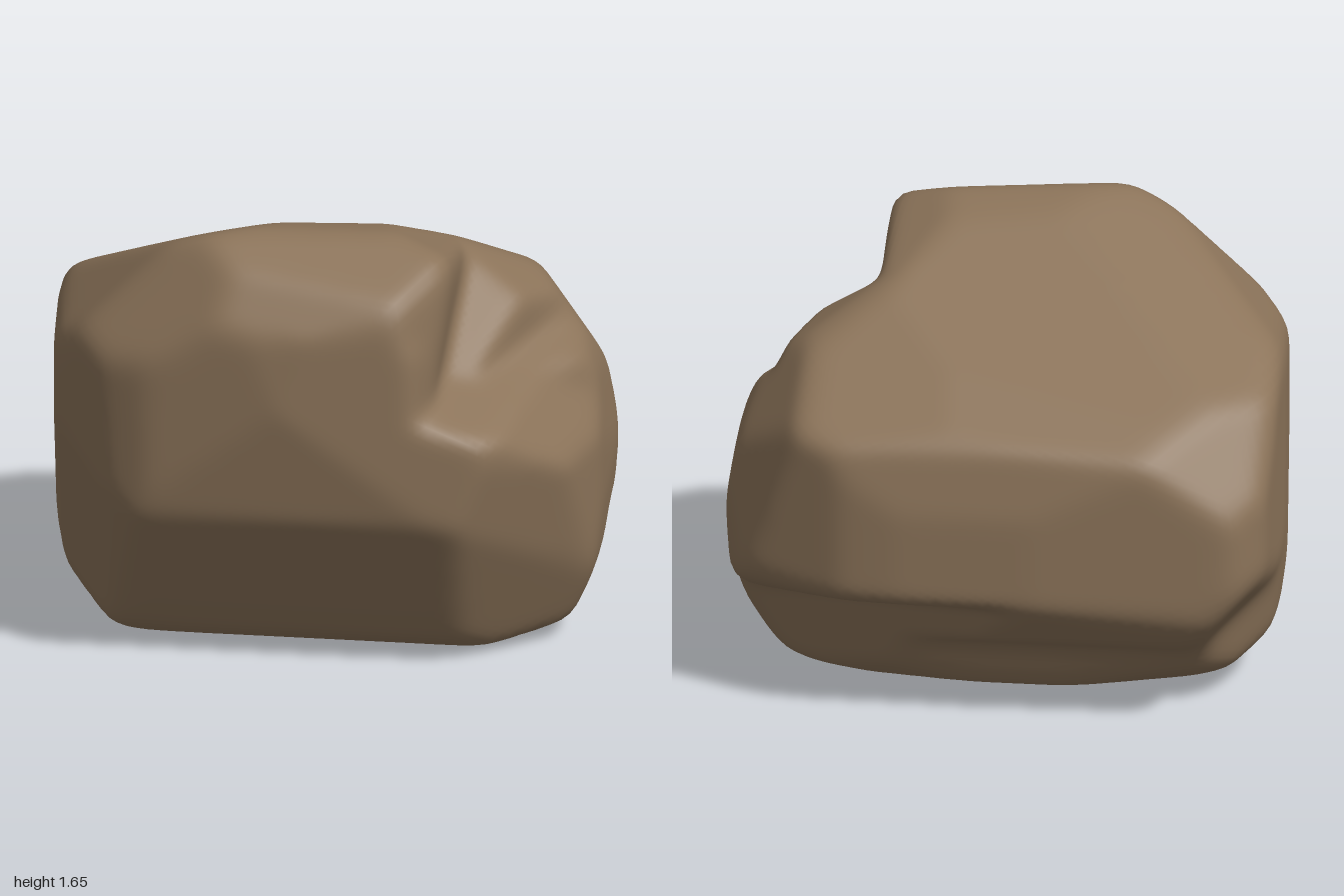
import * as THREE from 'three';
import { mergeVertices } from 'three/addons/utils/BufferGeometryUtils.js';

const CENTER = new THREE.Vector3(0, 0.8, 0);

// Outlines of the boulder, relative to its centre: profile (z, y), breadth (x, y) and plan (x, z)
const profile = [
  [0.57, 0.845], [0.49, 0.87], [0.07, 0.78], [-0.49, 0.475], [-0.715, 0.26], [-0.76, 0.02], [-0.76, -0.32],
  [-0.61, -0.5], [-0.46, -0.57], [-0.36, -0.775], [-0.2, -0.803], [0.345, -0.78], [0.45, -0.6],
  [0.69, -0.16], [0.765, 0.28], [0.75, 0.56],
];
const breadth = [
  [-1.003, -0.2], [-0.985, 0.42], [-0.835, 0.69], [-0.46, 0.85], [0.35, 0.87], [0.53, 0.86], [0.77, 0.55],
  [0.95, 0.17], [1.003, -0.15], [0.965, -0.52], [0.87, -0.745], [0.47, -0.803], [-0.69, -0.788],
  [-0.95, -0.615],
];
const plan = [
  [-1.003, -0.2], [-0.955, 0.36], [-0.79, 0.59], [-0.58, 0.7], [-0.1, 0.765], [0.63, 0.665], [0.9, 0.37],
  [0.985, 0.1], [1.003, -0.3], [0.91, -0.555], [0.54, -0.735], [0.3, -0.765], [-0.1, -0.765],
  [-0.9, -0.695], [-0.97, -0.63],
];
// Outlines across the corners, on slanting axes
const cornerA = [
  [-0.667, 0.727], [-0.28, 0.7], [0.42, 0.51], [1, 0.26], [1.05, -0.4], [0.65, -0.94], [0.259, -0.975],
  [-0.809, -0.564], [-0.951, -0.088], [-0.975, 0.486],
];
const cornerB = [
  [-0.08, 0.99], [0.617, 0.819], [0.981, 0.338], [0.957, -0.088], [0.79, -0.792], [0.481, -0.959],
  [-0.179, -0.854], [-0.75, -0.55], [-1.05, -0.2], [-0.95, 0.25], [-0.722, 0.56], [-0.38, 0.702],
];
const cornerC = [
  [-0.68, 0.69], [-0.2, 0.75], [0.883, 0.302], [1.11, 0], [1.117, -0.278], [0.88, -0.53], [0.821, -0.772],
  [0.389, -0.988], [0.222, -0.935], [-0.642, -0.63], [-0.846, -0.241], [-0.93, 0.1], [-0.71, 0.37],
];

const vec = (x, y, z) => new THREE.Vector3(x, y, z);
const outline = (points, u, v) => ({ points, u, v });
const OUTLINES = [
  outline(profile, vec(0, 0, 1), vec(0, 1, 0)),
  outline(breadth, vec(1, 0, 0), vec(0, 1, 0)),
  outline(plan, vec(1, 0, 0), vec(0, 0, 1)),
];
[[cornerA, 40, 25], [cornerB, 220, 25], [cornerC, 140, -25]].forEach(([points, turn, tilt]) => {
  const turned = new THREE.Euler(
    THREE.MathUtils.degToRad(-tilt), THREE.MathUtils.degToRad(turn), 0, 'YXZ');
  OUTLINES.push(outline(points, vec(1, 0, 0).applyEuler(turned), vec(0, 1, 0).applyEuler(turned)));
});

// Cutting planes, each a normal and a point on the plane
const plane = (n, p) => ({ n, d: n.dot(p.sub(CENTER)) });
const floor = plane(vec(0.35, 1, 0.3), vec(0.47, 1.12, 0.3));
const CUTS = [
  // Broken-off upper corner: steep wall, floor and sloping back
  [plane(vec(1, -0.135, 0), vec(0.475, 1.35, 0.4)), floor, plane(vec(0.3, 0.7, 0.6), vec(0.5, 1.3, 0.13))],
  // Bevelled front edge of the wall
  [plane(vec(1, 0, 0.5), vec(0.48, 1.4, 0.5)), floor],
  // Undercut at the lower back
  [plane(vec(0, -1, -0.22), vec(0.8, 0.37, -0.3)), plane(vec(0.45, -0.3, -1), vec(0.8, 0.25, -0.27))],
  // Worn front corner
  [plane(vec(-1, 1, 1), vec(-0.72, 1.5, 0.58))],
];

// Distance along dir to an outline
function outlineReach({ u, v, points }, dir) {
  const du = u.dot(dir), dv = v.dot(dir);
  let reach = Infinity;
  points.forEach(([a, b], i) => {
    const [c, d] = points[(i + 1) % points.length];
    const eu = c - a, ev = d - b;
    const den = du * ev - dv * eu;
    if (Math.abs(den) < 1e-9) return;
    const t = (a * ev - b * eu) / den;
    const s = (a * dv - b * du) / den;
    if (t > 0 && s > -1e-6 && s < 1 + 1e-6) reach = Math.min(reach, t);
  });
  return reach;
}

// Nearest limit among all outlines and cuts
function surfaceReach(dir) {
  let r = Math.min(...OUTLINES.map((o) => outlineReach(o, dir)));
  for (const cut of CUTS) {
    const enter = Math.max(...cut.map(({ n, d }) => {
      const k = n.dot(dir);
      return k > 1e-6 ? d / k : Infinity;
    }));
    r = Math.min(r, enter);
  }
  return r;
}

// Average each vertex with its neighbours to wear down the edges
function wear(geometry, passes) {
  const pos = geometry.attributes.position, index = geometry.index;
  const near = Array.from({ length: pos.count }, () => new Set());
  for (let i = 0; i < index.count; i += 3) {
    for (let j = 0; j < 3; j++) {
      const a = index.getX(i + j), b = index.getX(i + (j + 1) % 3);
      near[a].add(b);
      near[b].add(a);
    }
  }
  const p = vec(), q = vec();
  for (let k = 0; k < passes; k++) {
    const next = near.map((set, i) => {
      p.set(0, 0, 0);
      set.forEach((j) => p.add(q.fromBufferAttribute(pos, j)));
      return p.divideScalar(set.size).lerp(q.fromBufferAttribute(pos, i), 0.4).clone();
    });
    next.forEach((v, i) => pos.setXYZ(i, v.x, v.y, v.z));
  }
}

export function createModel() {
  const stone = new THREE.MeshStandardMaterial({ color: 0x8b7359 });
  stone.name = 'brown stone';

  let geometry = new THREE.IcosahedronGeometry(1, 34);
  geometry.deleteAttribute('normal');
  geometry.deleteAttribute('uv');
  geometry = mergeVertices(geometry, 1e-4);

  const pos = geometry.attributes.position, v = vec();
  for (let i = 0; i < pos.count; i++) {
    v.fromBufferAttribute(pos, i).normalize();
    v.multiplyScalar(surfaceReach(v)).add(CENTER);
    pos.setXYZ(i, v.x, v.y, v.z);
  }
  wear(geometry, 4);
  geometry.computeVertexNormals();

  const boulder = new THREE.Mesh(geometry, stone);
  boulder.name = 'boulder';
  const group = new THREE.Group();
  group.name = 'rock';
  group.add(boulder);
  return group;
}
